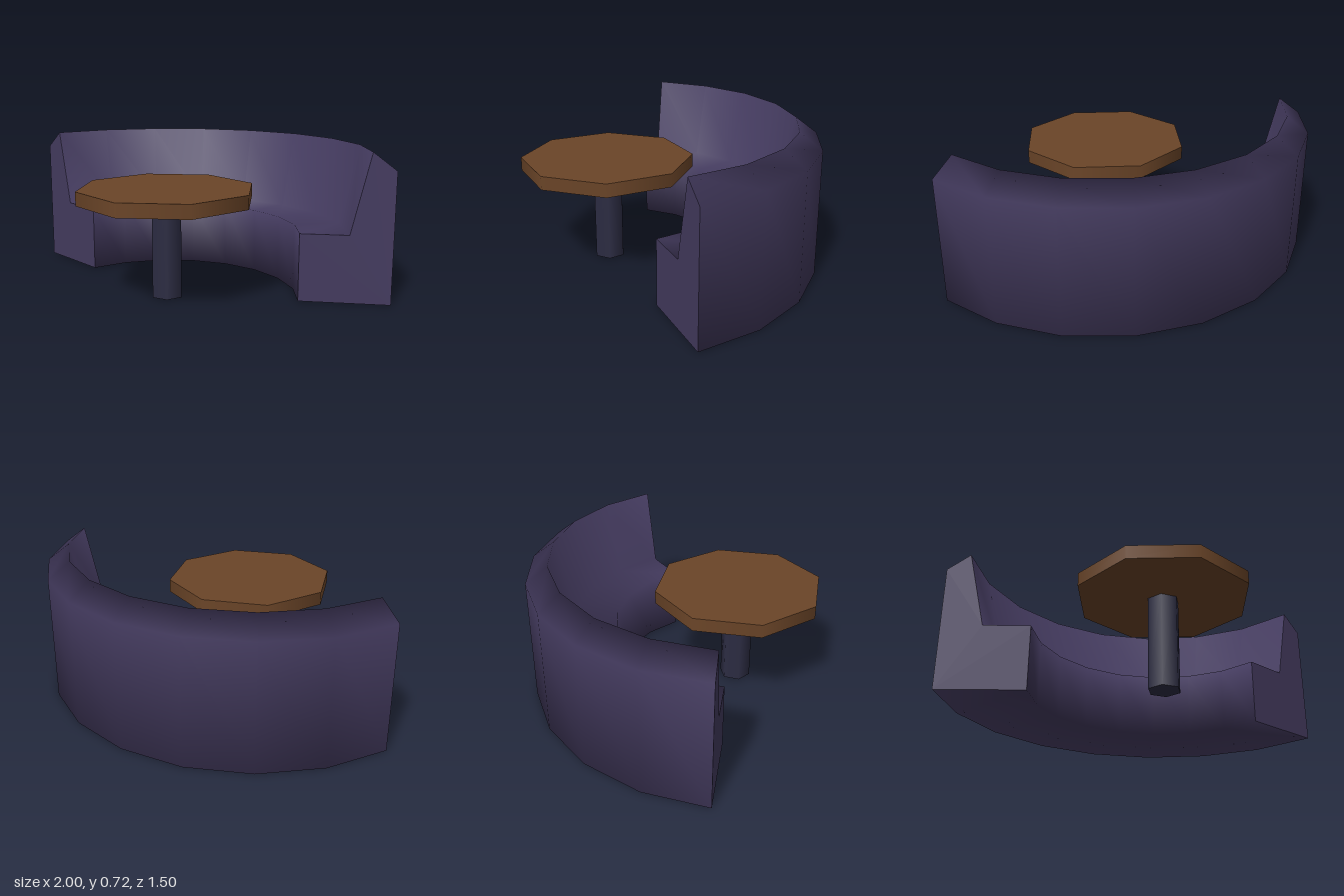
import * as THREE from 'three';

const upholstery = new THREE.MeshStandardMaterial({ name: 'purple upholstery', color: 0x433a5e });
const wood = new THREE.MeshStandardMaterial({ name: 'brown wood', color: 0x6b4528 });
const metal = new THREE.MeshStandardMaterial({ name: 'dark metal', color: 0x2d2d44 });

// Bench cross-section as [radius, height], from the inner foot over the seat and back
const PROFILE = [[0.632, 0], [0.632, 0.33], [0.863, 0.33], [0.952, 0.72], [1.064, 0.635], [1.064, 0]];
const HALF_ARC = THREE.MathUtils.degToRad(70);
const SEGMENTS = 8;

// Sweep the closed cross-section round the table with soft, shared normals
function sweepBench() {
  const n = PROFILE.length, positions = [], indices = [];
  for (let i = 0; i <= SEGMENTS; i++) {
    const a = -HALF_ARC + (2 * HALF_ARC * i) / SEGMENTS;
    for (const [r, y] of PROFILE) positions.push(r * Math.sin(a), y, -r * Math.cos(a));
  }
  for (let i = 0; i < SEGMENTS; i++) {
    for (let j = 0; j < n; j++) {
      const k = (j + 1) % n;
      const a = i * n + j, b = i * n + k, c = a + n, d = b + n;
      indices.push(a, c, b, b, c, d);
    }
  }
  const geometry = new THREE.BufferGeometry();
  geometry.setAttribute('position', new THREE.Float32BufferAttribute(positions, 3));
  geometry.setIndex(indices);
  geometry.computeVertexNormals();
  return geometry;
}

// Flat panel closing one end of the bench; side is +1 (left) or -1 (right)
function endPanel(side) {
  const shape = new THREE.Shape(PROFILE.map(([r, y]) => new THREE.Vector2(side * r, y)));
  return new THREE.ShapeGeometry(shape).rotateY(side * (Math.PI / 2 - HALF_ARC));
}

export function createModel() {
  const model = new THREE.Group();
  model.name = 'boothWithTable';
  const add = (name, geometry, material, parent) => {
    const mesh = new THREE.Mesh(geometry, material);
    mesh.name = name;
    parent.add(mesh);
    return mesh;
  };

  // Curved bench
  const bench = new THREE.Group();
  bench.name = 'bench';
  add('seatAndBack', sweepBench(), upholstery, bench);
  add('leftEnd', endPanel(1), upholstery, bench);
  add('rightEnd', endPanel(-1), upholstery, bench);

  // Octagonal table on a six-sided post
  const table = new THREE.Group();
  table.name = 'table';
  add('tableTop', new THREE.CylinderGeometry(0.432, 0.432, 0.067, 8), wood, table).position.y = 0.5;
  const post = new THREE.CylinderGeometry(0.08, 0.08, 0.47, 6).rotateY(Math.PI / 6);
  add('tablePost', post, metal, table).position.y = 0.235;

  // Both share the centre of the arc
  bench.position.z = table.position.z = 0.315;
  model.add(bench, table);
  return model;
}
